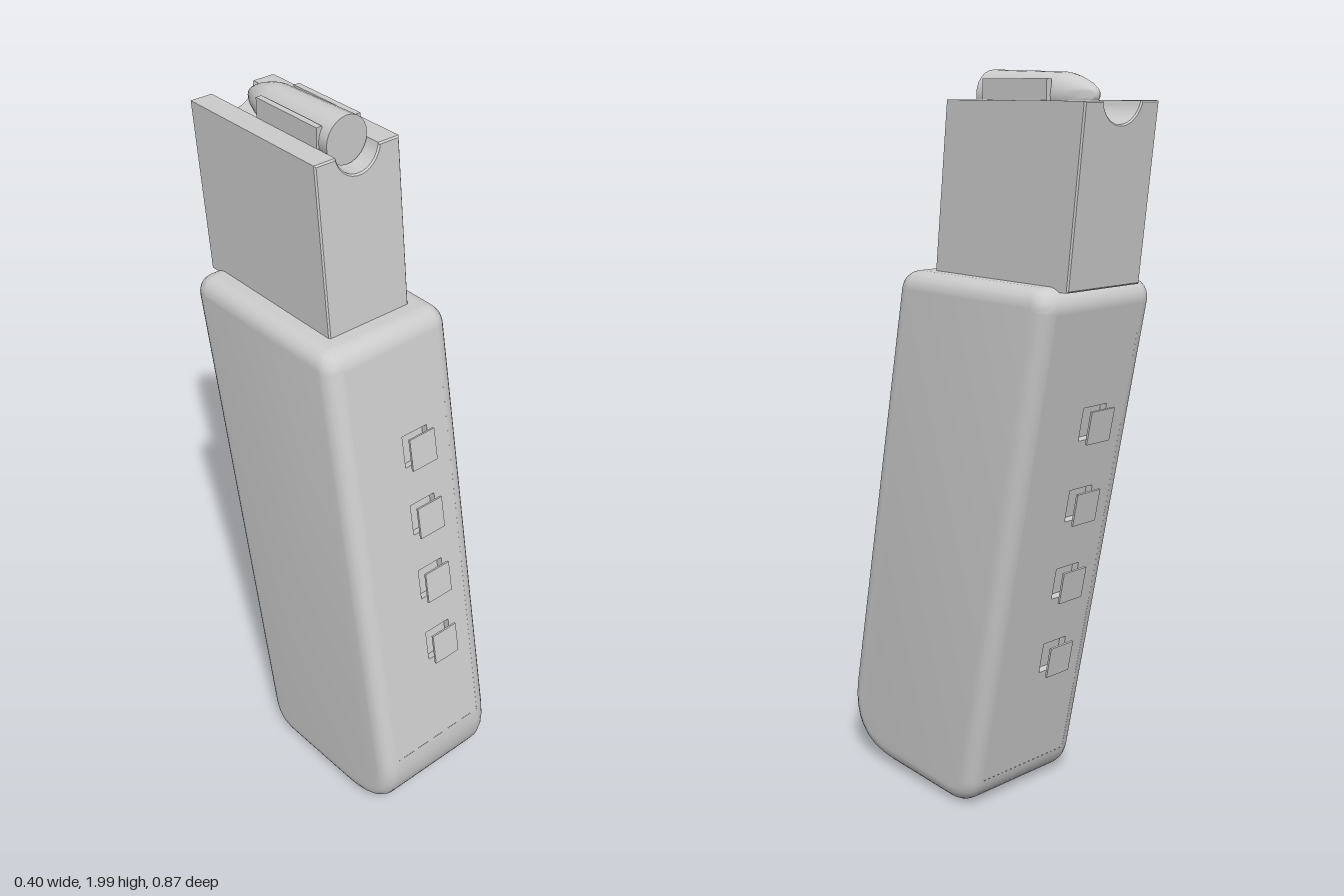
import * as THREE from 'three';
import { toCreasedNormals } from 'three/addons/utils/BufferGeometryUtils.js';

const TILT = Math.atan(0.2); // lean of the body

// closed outline with each corner [x, y, cut] rounded off
function roundedShape(corners) {
  const s = new THREE.Shape();
  const n = corners.length;
  corners.forEach(([x, y, t], i) => {
    const c = new THREE.Vector2(x, y);
    const toward = (q) => new THREE.Vector2(q[0], q[1]).sub(c).setLength(t).add(c);
    const a = toward(corners[(i + n - 1) % n]);
    const b = toward(corners[(i + 1) % n]);
    if (i) s.lineTo(a.x, a.y); else s.moveTo(a.x, a.y);
    s.quadraticCurveTo(x, y, b.x, b.y);
  });
  s.closePath();
  return s;
}

// remove the tall flat triangles on one end of the body; returns their y and z limits
function openFlatEnd(geo, sign) {
  const pos = geo.attributes.position, nor = geo.attributes.normal;
  const keepP = [], keepN = [];
  let top = { y: -9 }, bottom = { y: 9 };
  for (let i = 0; i < pos.count; i += 3) {
    const v = [0, 1, 2].map((k) => new THREE.Vector3().fromBufferAttribute(pos, i + k));
    const ys = v.map((p) => p.y);
    const flat = v.every((p) => Math.abs(p.x) < 0.157 && (sign > 0 ? p.z > 0.16 : p.z < -0.05))
      && Math.max(...ys) - Math.min(...ys) > 0.5;
    if (flat) {
      for (const p of v) {
        if (p.y > top.y) top = p;
        if (p.y < bottom.y) bottom = p;
      }
      continue;
    }
    v.forEach((p, k) => {
      keepP.push(p.x, p.y, p.z);
      keepN.push(nor.getX(i + k), nor.getY(i + k), nor.getZ(i + k));
    });
  }
  const out = new THREE.BufferGeometry();
  out.setAttribute('position', new THREE.Float32BufferAttribute(keepP, 3));
  out.setAttribute('normal', new THREE.Float32BufferAttribute(keepN, 3));
  return { out, top, bottom };
}

// box seen from the inside
function pocketGeometry(w, h, d) {
  const g = new THREE.BoxGeometry(w, h, d);
  g.index.array.reverse();
  const n = g.attributes.normal.array;
  for (let i = 0; i < n.length; i++) n[i] = -n[i];
  return g;
}

export function createModel() {
  const model = new THREE.Group();
  const grey = new THREE.MeshStandardMaterial({ color: 0xcccccc });
  grey.name = 'light grey';
  const add = (name, geo, parent = model) => {
    const m = new THREE.Mesh(geo, grey);
    m.name = name;
    parent.add(m);
    return m;
  };

  // leaning body with soft edges
  const round = 0.045;
  const outline = roundedShape([
    [0.146, 1.44, 0.01], [-0.327, 1.44, 0.01], [-0.049, 0.048, 0.05], [0.42, 0.072, 0.16],
  ]);
  let body = new THREE.ExtrudeGeometry(outline, {
    depth: 0.31, bevelSize: round, bevelThickness: round, bevelSegments: 5, curveSegments: 8,
  });
  body.translate(0, 0, -0.155).rotateY(-Math.PI / 2);
  body = toCreasedNormals(body, 0.7);

  // front and back panels with square windows and their raised covers
  const w = 0.085, h = 0.092, depth = 0.02;
  const ends = [
    { name: 'front', sign: 1, y: 1.154, step: 0.202 },
    { name: 'back', sign: -1, y: 1.116, step: 0.229 },
  ];
  for (const { name, sign, y, step } of ends) {
    const { out, top, bottom } = openFlatEnd(body, sign);
    body = out;
    const panel = new THREE.Group();
    panel.name = name + 'Panel';
    panel.position.set(0, top.y, top.z);
    panel.rotation.set(-sign * TILT, sign > 0 ? 0 : Math.PI, 0, 'YXZ');
    model.add(panel);

    const length = Math.hypot(top.y - bottom.y, top.z - bottom.z);
    const face = new THREE.Shape([
      new THREE.Vector2(-0.155, -length), new THREE.Vector2(0.155, -length),
      new THREE.Vector2(0.155, 0), new THREE.Vector2(-0.155, 0),
    ]);
    for (let i = 0; i < 4; i++) {
      const v = (y - i * step - top.y) / Math.cos(TILT);
      face.holes.push(new THREE.Path([
        new THREE.Vector2(0, v - h / 2), new THREE.Vector2(0, v + h / 2),
        new THREE.Vector2(w, v + h / 2), new THREE.Vector2(w, v - h / 2),
      ]));
      add('windowRecess', pocketGeometry(w, h, depth), panel).position.set(w / 2, v, -depth / 2);
      add('windowCover', new THREE.BoxGeometry(w, h, 0.006), panel).position.set(w / 2, v, 0.027);
    }
    add(name + 'Face', new THREE.ShapeGeometry(face), panel);
  }
  add('body', body);

  // upper block with a round channel, leaning back
  const section = new THREE.Shape();
  section.moveTo(-0.13, 1.474);
  section.lineTo(0.13, 1.474);
  section.lineTo(0.13, 1.925);
  section.lineTo(0.066, 1.925);
  section.absarc(0, 1.937, 0.067, -0.18, -Math.PI + 0.18, true);
  section.lineTo(-0.13, 1.925);
  section.closePath();
  const block = new THREE.ExtrudeGeometry(section, {
    depth: 0.482, bevelSize: 0.004, bevelOffset: -0.004, bevelThickness: 0.004,
    bevelSegments: 1, curveSegments: 16,
  });
  block.translate(0, 0, -0.376);
  const p = block.attributes.position;
  for (let i = 0; i < p.count; i++) p.setZ(i, p.getZ(i) - (p.getY(i) - 1.48) * 0.113);
  add('upperBlock', toCreasedNormals(block, 0.5));

  // round lying in the channel: straight case, then pointed tip
  const profile = [
    [0, 0], [0.062, 0], [0.055, 0.26], [0.053, 0.275], [0.045, 0.305],
    [0.032, 0.337], [0.018, 0.359], [0.008, 0.367], [0, 0.37],
  ].map(([r, d]) => new THREE.Vector2(r, d));
  const cartridge = new THREE.LatheGeometry(profile, 24).rotateX(-Math.PI / 2);
  add('cartridge', toCreasedNormals(cartridge, 0.7)).position.set(0, 1.938, 0.02);

  // feed lips on both sides
  for (const s of [-1, 1]) {
    add('feedLip', new THREE.BoxGeometry(0.017, 0.06, 0.23)).position.set(s * 0.0585, 1.947, -0.125);
  }
  return model;
}
